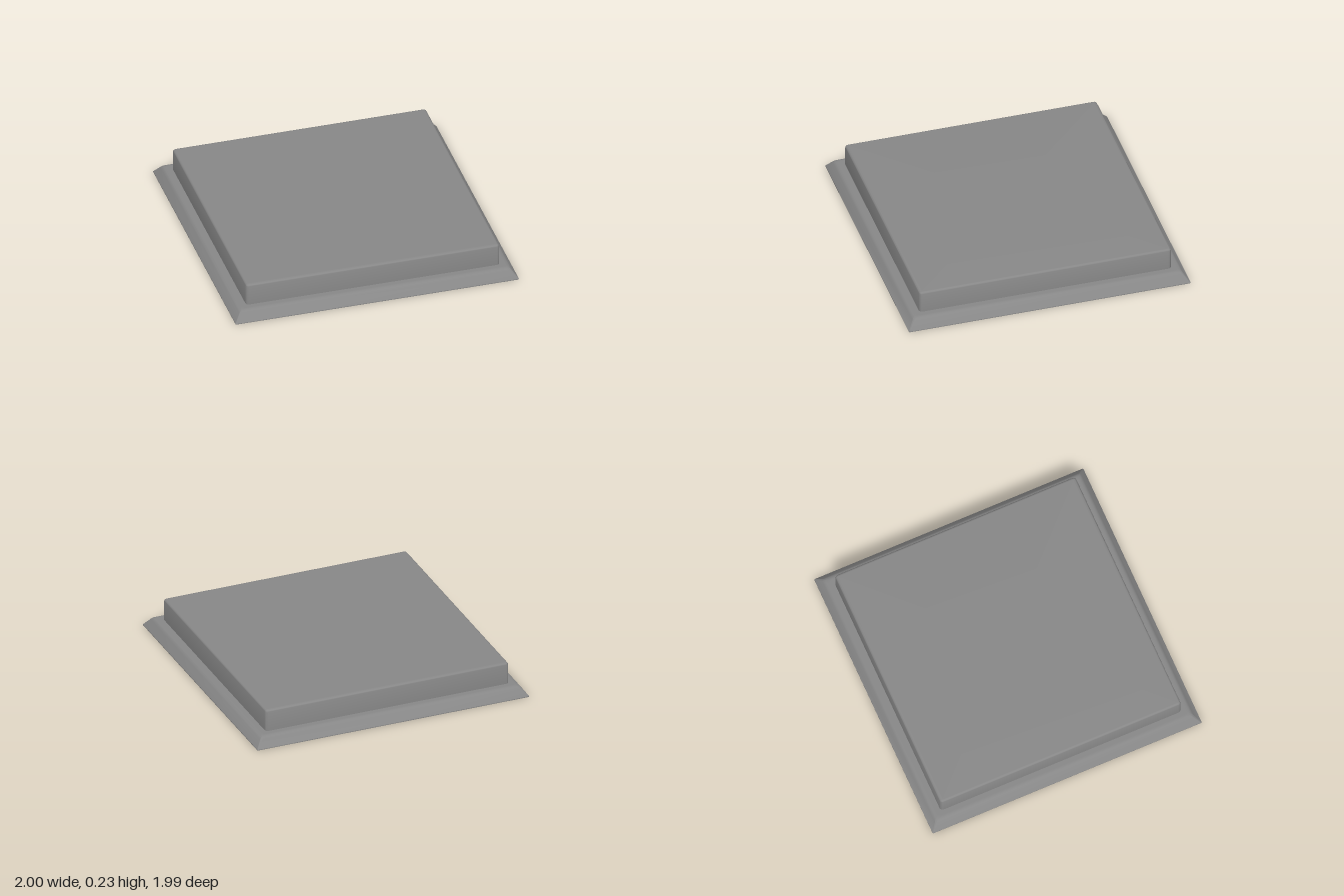
import * as THREE from 'three';
import { toCreasedNormals } from 'three/addons/utils/BufferGeometryUtils.js';

const CORNER_STEPS = 6;

// Outline of a rounded rectangle at height y
function ring([halfX, halfZ, y, r]) {
  const points = [];
  [[1, 1], [-1, 1], [-1, -1], [1, -1]].forEach(([sx, sz], corner) => {
    for (let k = 0; k <= CORNER_STEPS; k++) {
      const a = (corner + k / CORNER_STEPS) * Math.PI / 2;
      points.push([sx * (halfX - r) + r * Math.cos(a), y, sz * (halfZ - r) + r * Math.sin(a)]);
    }
  });
  return points;
}

// Closed solid through a stack of rounded rectangles, listed bottom to top
function loft(sections) {
  const rings = sections.map(ring);
  const n = rings[0].length;
  const last = rings.length - 1;
  const positions = rings.flat(2);
  const index = [];
  for (let j = 0; j < last; j++) {
    for (let i = 0; i < n; i++) {
      const a = j * n + i, b = j * n + (i + 1) % n;
      index.push(a, a + n, b, b, a + n, b + n);
    }
  }
  // End caps
  const bottom = positions.length / 3, top = bottom + 1;
  positions.push(0, sections[0][2], 0, 0, sections[last][2], 0);
  for (let i = 0; i < n; i++) {
    const next = (i + 1) % n;
    index.push(bottom, i, next, top, last * n + next, last * n + i);
  }
  const geometry = new THREE.BufferGeometry();
  geometry.setAttribute('position', new THREE.Float32BufferAttribute(positions, 3));
  geometry.setIndex(index);
  return toCreasedNormals(geometry, Math.PI / 6);
}

export function createModel() {
  const group = new THREE.Group();
  group.name = 'squarePlinth';
  const material = new THREE.MeshStandardMaterial({ color: 0x878787 });
  const add = (name, geometry) => {
    const mesh = new THREE.Mesh(geometry, material);
    mesh.name = name;
    group.add(mesh);
  };

  // Flared skirt: inset from the foot, height, corner radius; the last ring keeps the ledge flat
  const skirt = [
    [0, 0, 0.008], [0, 0.005, 0.008], [0.038, 0.058, 0.015], [0.046, 0.067, 0.018],
    [0.055, 0.072, 0.022], [0.066, 0.075, 0.026], [0.075, 0.075, 0.026],
  ];
  add('flaredBase', loft(skirt.map(([inset, y, r]) => [1 - inset, 0.995 - inset, y, r])));

  // Raised slab with a rounded upper edge
  const edge = 0.018, height = 0.232;
  const slab = [[0.895, 0.89, 0.06, 0.022]];
  for (let k = 0; k <= 5; k++) {
    const a = k / 5 * Math.PI / 2;
    const inset = edge * (1 - Math.cos(a));
    slab.push([0.895 - inset, 0.89 - inset, height - edge + edge * Math.sin(a), 0.022 - inset]);
  }
  // Narrow level border so the top face shades flat
  slab.push([0.871, 0.866, height, 0.004]);
  add('raisedSlab', loft(slab));
  return group;
}
